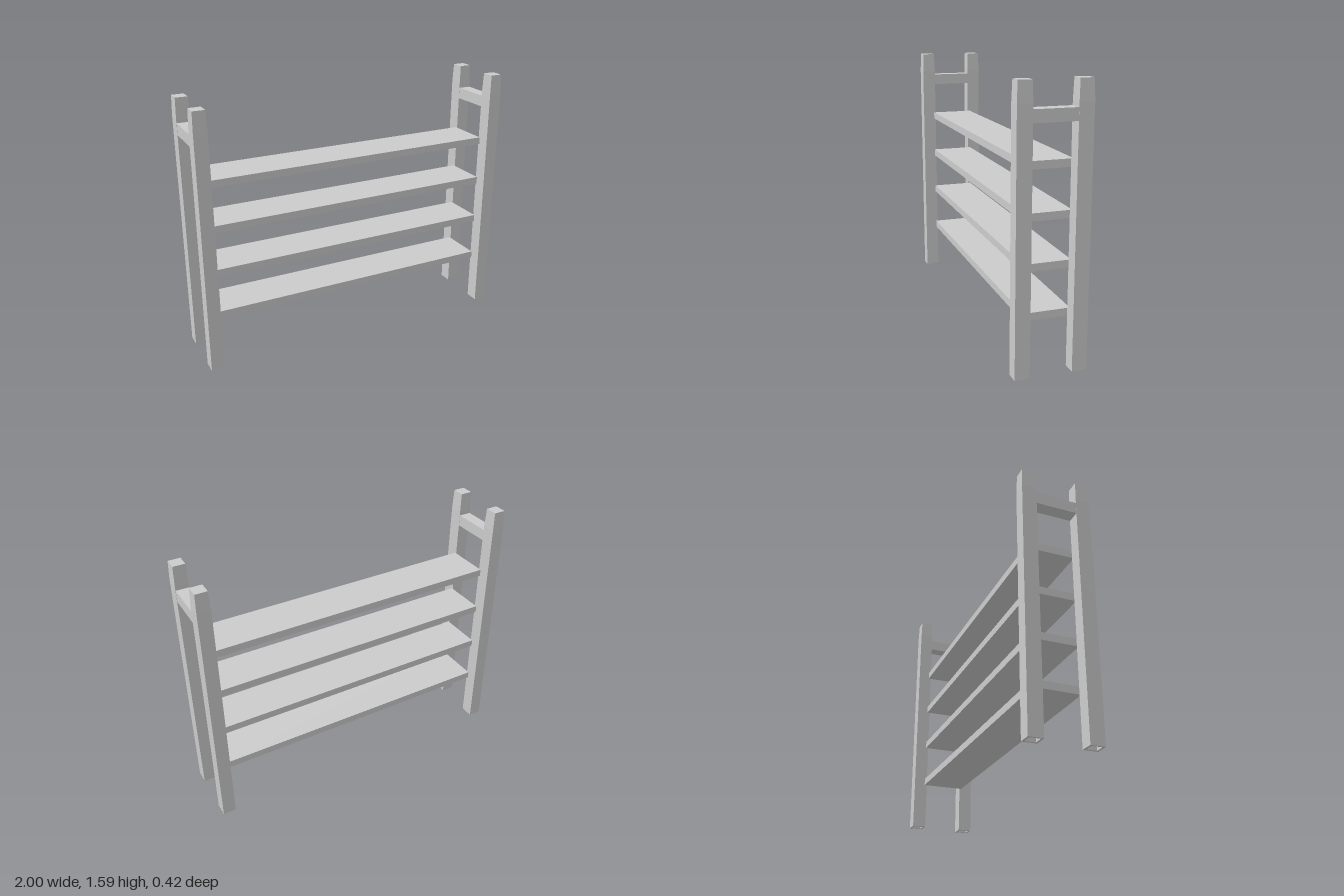
import * as THREE from 'three';

export function createModel() {
  const group = new THREE.Group();
  const material = new THREE.MeshStandardMaterial({ color: 0xcccccc, flatShading: true });

  const add = (name, geometry, x, y, z) => {
    const mesh = new THREE.Mesh(geometry, material);
    mesh.name = name;
    mesh.position.set(x, y, z);
    group.add(mesh);
  };

  // Square hollow post, open at the foot, slightly tapered at the top
  const height = 1.59;
  const profile = [[0, 1.5], [0.72, 1.5], [0.72, 0], [1, 0], [1, 1.47], [0.91, height], [0, height]]
    .map(([r, y]) => new THREE.Vector2(r * Math.SQRT2, y));
  const post = new THREE.LatheGeometry(profile, 4, Math.PI / 4);
  post.scale(0.04, 1, 0.043);

  // Rail that joins the front and back posts near the top
  const rail = new THREE.BoxGeometry(0.078, 0.07, 0.254);

  for (const [side, sx] of [['left', 1], ['right', -1]]) {
    add(side + 'FrontPost', post, sx * 0.96, 0, 0.166);
    add(side + 'BackPost', post, sx * 0.96, 0, -0.166);
    add(side + 'TopRail', rail, sx * 0.96, 1.41, 0);
  }

  // Four evenly spaced shelves between the end frames
  const shelf = new THREE.BoxGeometry(1.84, 0.045, 0.272);
  for (let i = 0; i < 4; i++) add('shelf' + (i + 1), shelf, 0, 0.319 + i * 0.276, -0.002);

  return group;
}
